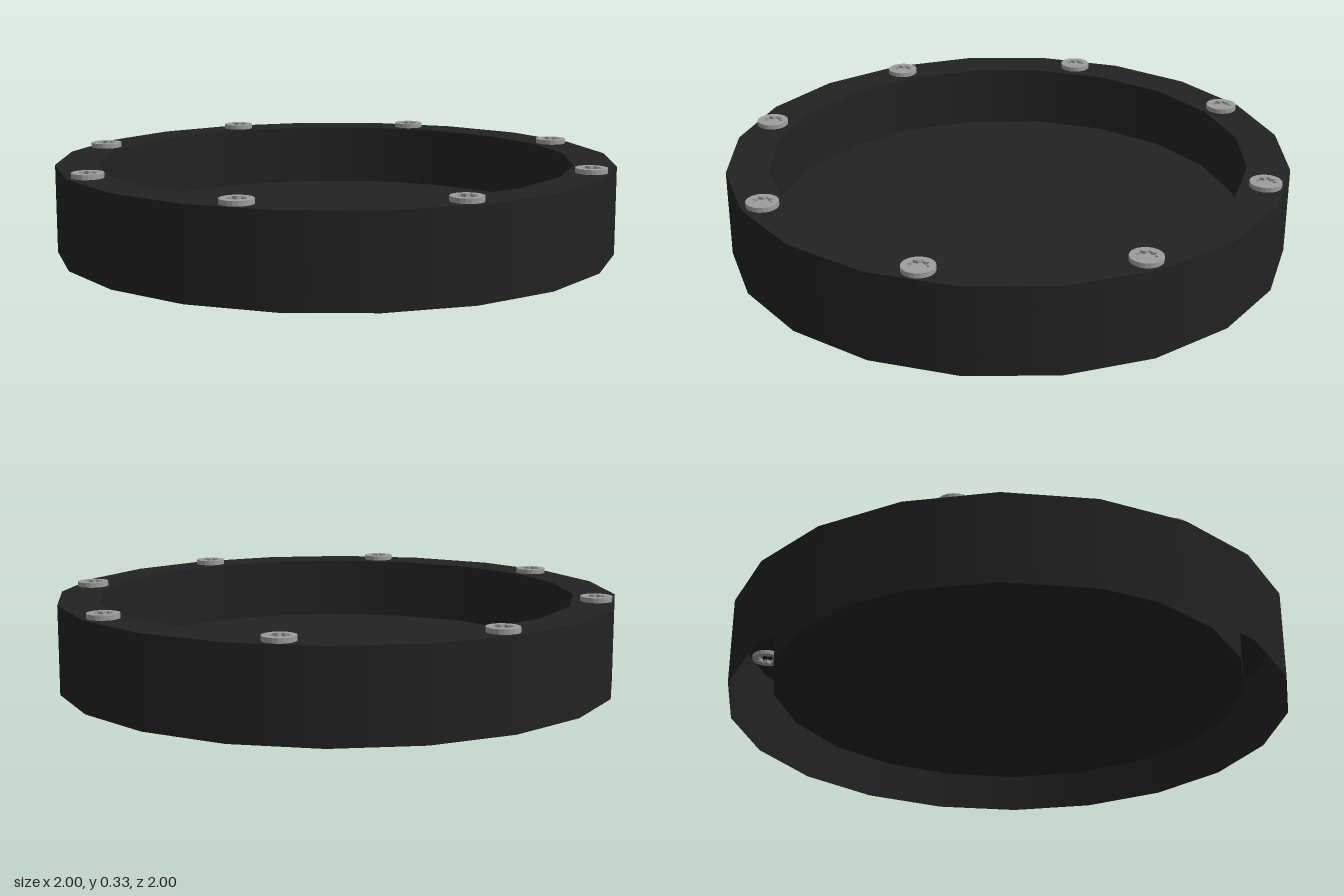
import * as THREE from 'three';

const SIDES = 20;
const HEIGHT = 0.315;
const FLOOR_Y = 0.09;
const OUTER_R = 1;
const INNER_R = 0.85;

// Screw head: round cap with a star-shaped socket
function screwHeadGeometry(radius, bottom, top) {
  const head = new THREE.Shape();
  head.absarc(0, 0, radius, 0, Math.PI * 2, false);
  const points = [];
  for (let i = 0; i < 16; i++) {
    const r = i % 2 ? 0.027 : 0.038;
    const a = (i / 16) * Math.PI * 2;
    points.push(new THREE.Vector2(Math.cos(a) * r, Math.sin(a) * r));
  }
  head.holes.push(new THREE.Path(points));
  const geometry = new THREE.ExtrudeGeometry(head, { depth: top - bottom, bevelEnabled: false, curveSegments: 10 });
  return geometry.rotateX(-Math.PI / 2).translate(0, bottom, 0);
}

export function createModel() {
  const black = new THREE.MeshStandardMaterial({ color: 0x222222, side: THREE.DoubleSide });
  black.name = 'black casing';
  const steel = new THREE.MeshStandardMaterial({ color: 0x9c9e9c });
  steel.name = 'steel';

  const model = new THREE.Group();
  model.name = 'roundCasing';
  const add = (parent, name, geometry, material) => {
    const mesh = new THREE.Mesh(geometry, material);
    mesh.name = name;
    parent.add(mesh);
    return mesh;
  };

  // Hollow casing: outer skirt open below, top rim, inner wall and raised floor
  const wall = (r, y0, y1) =>
    new THREE.CylinderGeometry(r, r, y1 - y0, SIDES, 1, true).translate(0, (y0 + y1) / 2, 0);
  add(model, 'outerWall', wall(OUTER_R, 0, HEIGHT), black);
  add(model, 'innerWall', wall(INNER_R, FLOOR_Y, HEIGHT), black);
  add(model, 'topRim',
    new THREE.RingGeometry(INNER_R, OUTER_R, SIDES).rotateX(-Math.PI / 2).translate(0, HEIGHT, 0), black);
  add(model, 'floor',
    new THREE.CircleGeometry(INNER_R, SIDES).rotateX(-Math.PI / 2).translate(0, FLOOR_Y, 0), black);

  // Eight screws around the rim
  const headGeometry = screwHeadGeometry(0.056, 0.3, 0.332);
  const socketGeometry = new THREE.CircleGeometry(0.045, 16).rotateX(-Math.PI / 2).translate(0, 0.322, 0);
  for (let i = 0; i < 8; i++) {
    const a = (i / 8) * Math.PI * 2;
    const screw = new THREE.Group();
    screw.name = 'screw';
    screw.position.set(Math.cos(a) * 0.925, 0, Math.sin(a) * 0.925);
    add(screw, 'screwHead', headGeometry, steel);
    add(screw, 'socketFloor', socketGeometry, steel);
    model.add(screw);
  }
  return model;
}
